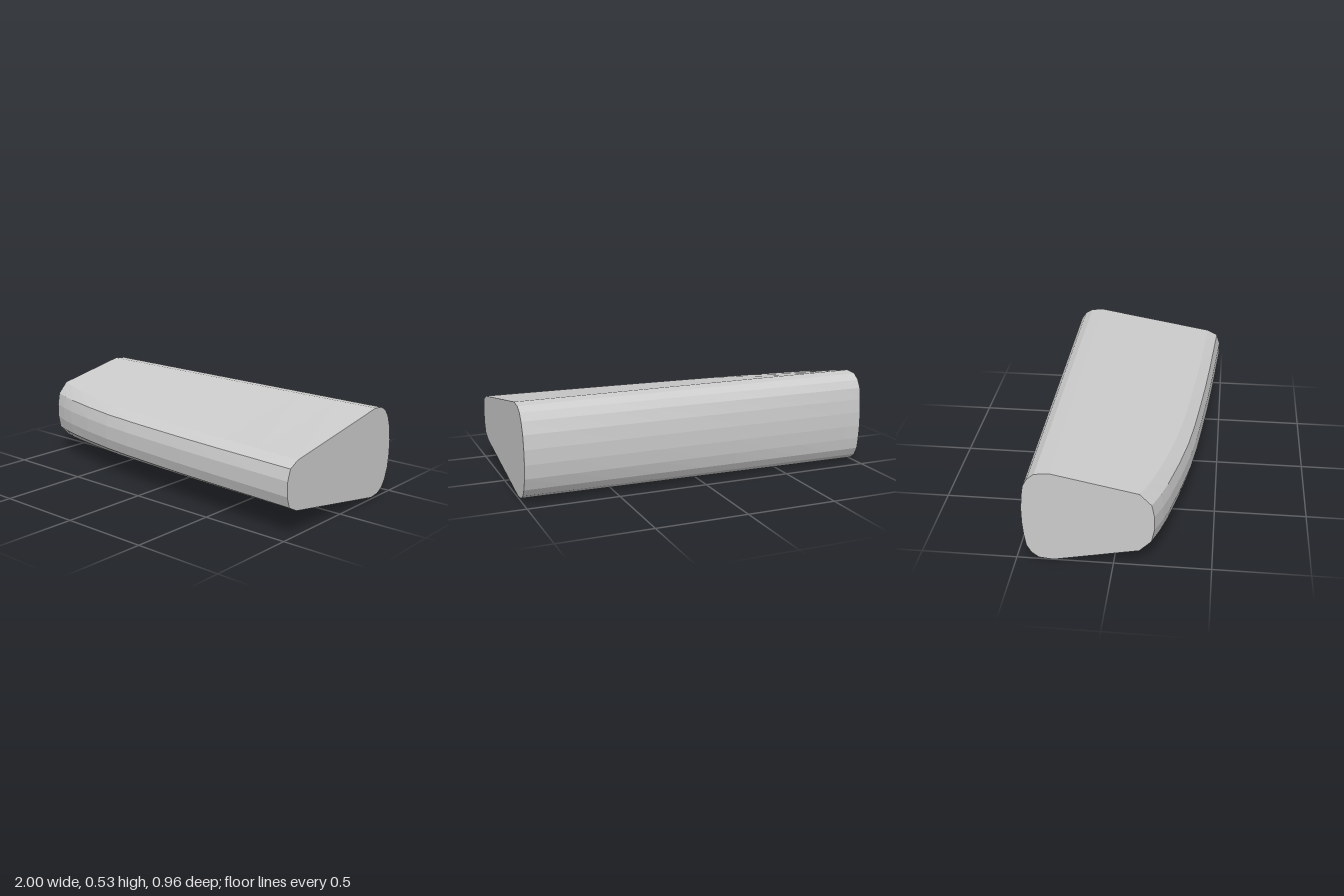
import * as THREE from 'three';

const MID = 0.264; // height of the symmetry plane
// nose position along the length: [x, z]
const NOSE = [[-1, 0.207], [-0.9, 0.245], [-0.8, 0.275], [-0.6, 0.322], [-0.4, 0.36], [-0.2, 0.386],
  [0, 0.406], [0.25, 0.429], [0.5, 0.448], [0.75, 0.464], [1, 0.48]];

// upper half of one cross-section as [z, half height], from nose to back, then mirrored below
function section(x, nose) {
  const k = (1 - x) / 2; // 0 at the wide end, 1 at the narrow end
  const t = (0.48 - nose) / 0.27;
  const upper = [
    [nose, 0.04],
    [nose - 0.02 + 0.006 * t, 0.1 + 0.01 * t],
    [nose - 0.08 + 0.005 * t, 0.131 + 0.041 * t],
    [-0.31, 0.254 + 0.009 * k],
    [-0.375 - 0.01 * k, 0.246 + 0.009 * k],
    [-0.418 - 0.005 * k, 0.221 + 0.003 * k],
    [-0.446, 0.181],
    [-0.47 + 0.014 * k, 0.116],
    [-0.48 + 0.018 * k, 0.04],
  ];
  const lower = upper.map(([z, h]) => [z, -h]).reverse();
  return [...upper, ...lower].map(([z, h]) => [x, MID + h, z]);
}

export function createModel() {
  const group = new THREE.Group();
  group.name = 'taperedBlock';

  const rings = NOSE.map(([x, z]) => section(x, z));
  const n = rings[0].length;
  const last = rings.length - 1;
  const pos = rings.flat(2);
  const index = [];

  // skin between neighbouring cross-sections
  for (let i = 0; i < last; i++) {
    for (let j = 0; j < n; j++) {
      const a = i * n + j, b = i * n + (j + 1) % n;
      index.push(a, a + n, b, b, a + n, b + n);
    }
  }
  // flat end caps as fans around a centre point
  const c = rings.length * n;
  pos.push(-1, MID, -0.1, 1, MID, 0);
  for (let j = 0; j < n; j++) {
    const k = (j + 1) % n;
    index.push(c, j, k, c + 1, last * n + k, last * n + j);
  }

  const indexed = new THREE.BufferGeometry();
  indexed.setAttribute('position', new THREE.Float32BufferAttribute(pos, 3));
  indexed.setIndex(index);
  const geometry = indexed.toNonIndexed();
  geometry.computeVertexNormals();

  const body = new THREE.Mesh(geometry, new THREE.MeshStandardMaterial({ color: 0xcccccc, flatShading: true }));
  body.name = 'body';
  group.add(body);
  return group;
}
